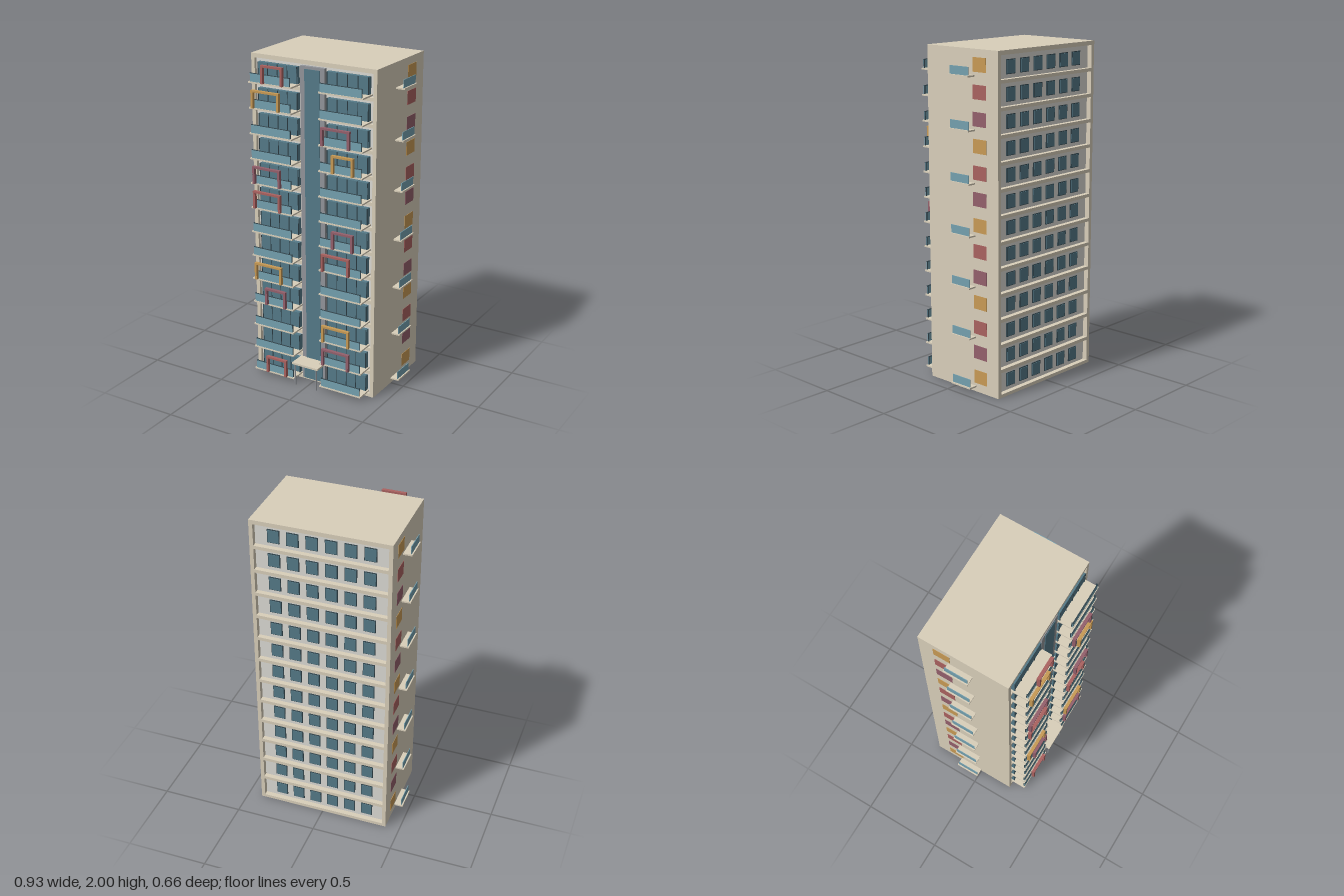
import * as THREE from 'three';

const FLOORS = 13, STEP = 0.1517;
const mat = (color) => new THREE.MeshStandardMaterial({ color });
const M = {
  stone: mat(0xd9cfba), wall: mat(0xdcdad4), grey: mat(0x92959a), glass: mat(0x557a88),
  rail: mat(0x74a0af), dark: mat(0x34474f),
  orange: mat(0xc89a55), red: mat(0xaa6260), purple: mat(0x94606c),
};

// Box given by its min and max corners
function box(parent, name, material, x0, x1, y0, y1, z0, z1) {
  const mesh = new THREE.Mesh(new THREE.BoxGeometry(x1 - x0, y1 - y0, z1 - z0), material);
  mesh.position.set((x0 + x1) / 2, (y0 + y1) / 2, (z0 + z1) / 2);
  mesh.name = name;
  parent.add(mesh);
  return mesh;
}

// Same box on +x (side 1) or -x (side -1)
function sideBox(parent, name, material, side, x0, x1, ...rest) {
  const [a, b] = side > 0 ? [x0, x1] : [-x1, -x0];
  return box(parent, name, material, a, b, ...rest);
}

// Wide glazing with mullions, balcony slab and glass railing
function frontBay(floor, side) {
  const g = new THREE.Group();
  g.name = 'frontBay';
  sideBox(g, 'glazing', M.glass, side, 0.097, 0.365, 0.035, 0.134, 0.19, 0.226);
  for (let k = 0; k < 5; k++) {
    const x = 0.099 + k * 0.066;
    sideBox(g, 'mullion', M.dark, side, x - 0.0015, x + 0.0015, 0.035, 0.134, 0.2, 0.23);
  }
  sideBox(g, 'balconySlab', M.stone, side, 0.09, 0.375, 0.026, 0.035, 0.195, 0.31);
  sideBox(g, 'balconyGlass', M.rail, side, 0.1, 0.365, 0.035, 0.083, 0.303, 0.307);
  sideBox(g, 'handrail', M.dark, side, 0.1, 0.365, 0.083, 0.086, 0.302, 0.308);
  for (const x of [0.101, 0.363])
    sideBox(g, 'railPost', M.dark, side, x - 0.002, x + 0.002, 0.035, 0.086, 0.297, 0.303);
  floor.add(g);
}

// Coloured portal frame standing on the balcony edge
function portal(floor, x0, x1, material) {
  const g = new THREE.Group(), t = 0.014;
  g.name = 'balconyPortal';
  box(g, 'portalLeg', material, x0, x0 + t, 0.035, 0.131, 0.308, 0.328);
  box(g, 'portalLeg', material, x1 - t, x1, 0.035, 0.131, 0.308, 0.328);
  box(g, 'portalBeam', material, x0, x1, 0.131, 0.143, 0.308, 0.328);
  floor.add(g);
}

export function createModel() {
  const model = new THREE.Group();
  model.name = 'apartmentTower';

  // Main body: recessed core between end walls, base and roof
  box(model, 'core', M.wall, -0.39, 0.39, 0.02, 1.975, -0.3, 0.2);
  for (const s of [1, -1]) sideBox(model, 'endWall', M.stone, s, 0.39, 0.413, 0, 1.975, -0.33, 0.22);
  box(model, 'roof', M.stone, -0.413, 0.413, 1.975, 2, -0.331, 0.22);

  // Portal positions and colours, from the ground floor up
  const spans = { a: [-0.28, -0.136], b: [-0.35, -0.162], c: [0.115, 0.3], d: [0.183, 0.325] };
  const portals = [['a', 'red'], ['c', 'purple'], ['c', 'orange'], ['a', 'purple'], ['b', 'orange'],
    ['c', 'red'], ['d', 'purple'], ['b', 'red'], ['b', 'purple'], ['d', 'orange'],
    ['c', 'purple'], ['b', 'orange'], ['a', 'red']];
  const panelColours = ['orange', 'purple', 'red'];

  for (let i = 0; i < FLOORS; i++) {
    const floor = new THREE.Group();
    floor.name = 'floor' + i;
    floor.position.y = i * STEP;
    model.add(floor);
    box(floor, 'floorSlab', M.stone, -0.39, 0.39, 0, 0.02, -0.33, 0.22);

    for (const s of [1, -1]) {
      frontBay(floor, s);
      // End wall: coloured panel, and a small balcony on every other floor
      sideBox(floor, 'sidePanel', M[panelColours[i % 3]], s, 0.405, 0.415, 0.053, 0.134, -0.24, -0.138);
      if (i % 2 === 0) {
        sideBox(floor, 'sideBalconySlab', M.stone, s, 0.41, 0.467, 0.026, 0.035, -0.152, 0);
        sideBox(floor, 'sideBalconyGlass', M.rail, s, 0.455, 0.459, 0.035, 0.083, -0.147, -0.004);
      }
    }

    const [span, colour] = portals[i];
    portal(floor, ...spans[span], M[colour]);

    // Row of back windows
    for (let k = 0; k < 6; k++) {
      const x = (k - 2.5) * 0.112;
      box(floor, 'backWindowFrame', M.dark, x - 0.036, x + 0.036, 0.043, 0.125, -0.305, -0.29);
      box(floor, 'backWindow', M.glass, x - 0.032, x + 0.032, 0.047, 0.121, -0.308, -0.29);
    }
  }

  // Central stair strip
  box(model, 'stairSurround', M.grey, -0.08, 0.08, 0.01, 1.965, 0.19, 0.223);
  box(model, 'stairGlass', M.glass, -0.05, 0.05, 0.15, 1.95, 0.2, 0.227);

  // Entrance door and canopy on two posts
  box(model, 'entranceDoor', M.glass, -0.064, 0.064, 0.012, 0.136, 0.2, 0.229);
  box(model, 'canopy', M.stone, -0.09, 0.09, 0.14, 0.152, 0.215, 0.33);
  for (const x of [-0.074, 0.074]) {
    const post = new THREE.Mesh(new THREE.CylinderGeometry(0.005, 0.005, 0.14, 10), M.grey);
    post.name = 'canopyPost';
    post.position.set(x, 0.07, 0.318);
    model.add(post);
  }
  return model;
}
